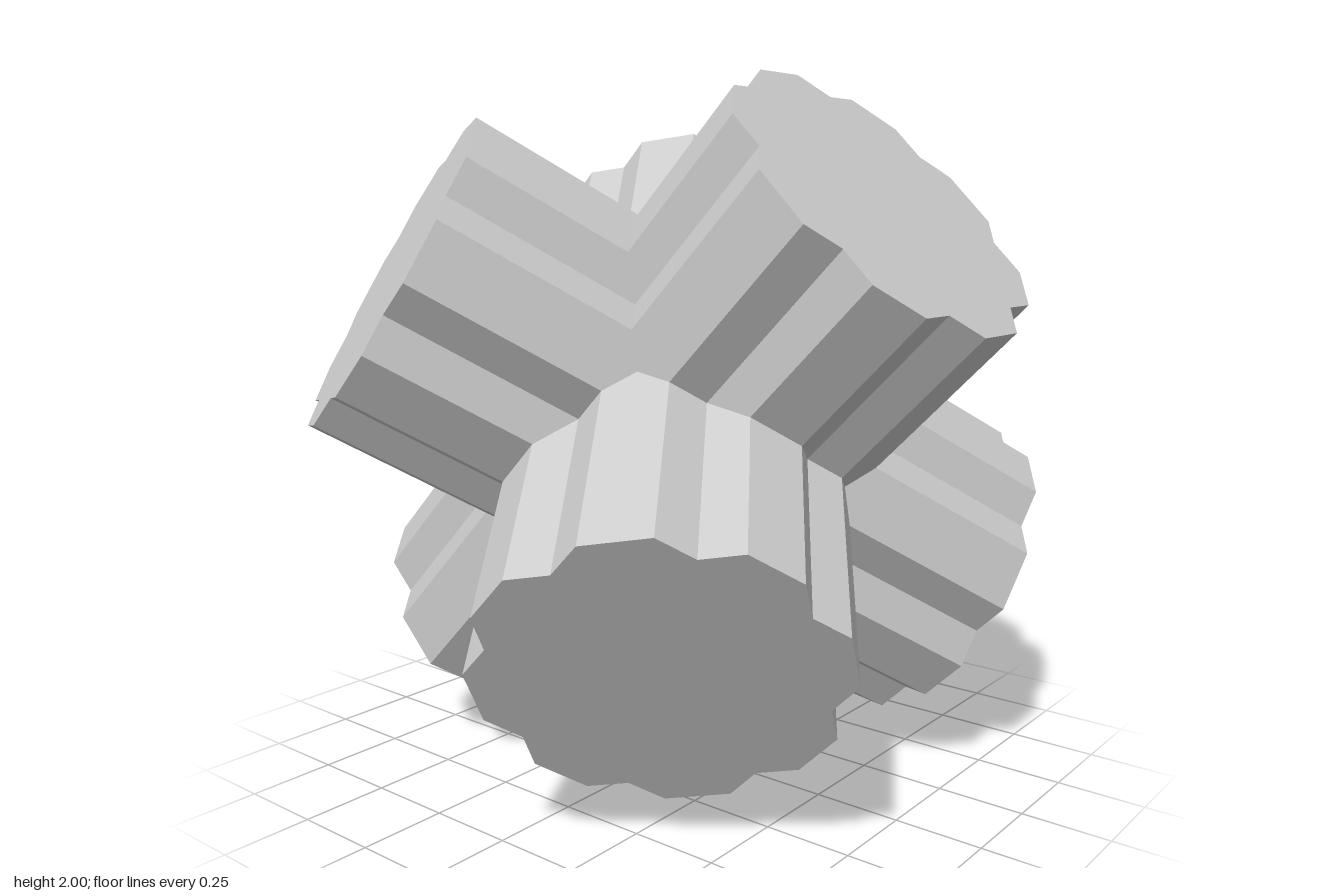
import * as THREE from 'three';

const RADIUS = Math.SQRT2 / 3;        // half width of each bar
const HALF_LENGTH = 2 * RADIUS;       // centre to end cap

// Notched cross-section: one quarter, turned four times
function notchedSection() {
  const u = RADIUS / 6;
  const quarter = [[6, 1], [5, 2], [5, 3.43], [3.43, 5], [2, 5], [1, 6]];
  const points = [];
  for (let i = 0; i < 4; i++) {
    for (const [x, y] of quarter) {
      points.push(new THREE.Vector2(x * u, y * u).rotateAround(new THREE.Vector2(), i * Math.PI / 2));
    }
  }
  return new THREE.Shape(points);
}

export function createModel() {
  const group = new THREE.Group();
  group.name = 'crossedNotchedBars';
  const material = new THREE.MeshStandardMaterial({ color: 0xcccccc, flatShading: true });

  const bar = new THREE.ExtrudeGeometry(notchedSection(), { depth: 2 * HALF_LENGTH, bevelEnabled: false });
  bar.translate(0, 0, -HALF_LENGTH);

  // Three mutually perpendicular axes, tilted as a set
  const h = Math.SQRT1_2;
  const axes = [
    new THREE.Vector3(h, h, 0),
    new THREE.Vector3(0.5, -0.5, h),
    new THREE.Vector3(0.5, -0.5, -h),
  ];
  const names = ['sideBar', 'frontLeftBar', 'frontRightBar'];

  // One bar along each axis, its notches lined up with the other two
  axes.forEach((axis, i) => {
    const mesh = new THREE.Mesh(bar, material);
    mesh.name = names[i];
    const basis = new THREE.Matrix4().makeBasis(axes[(i + 1) % 3], axes[(i + 2) % 3], axis);
    mesh.quaternion.setFromRotationMatrix(basis);
    mesh.position.y = 1;
    group.add(mesh);
  });

  return group;
}
